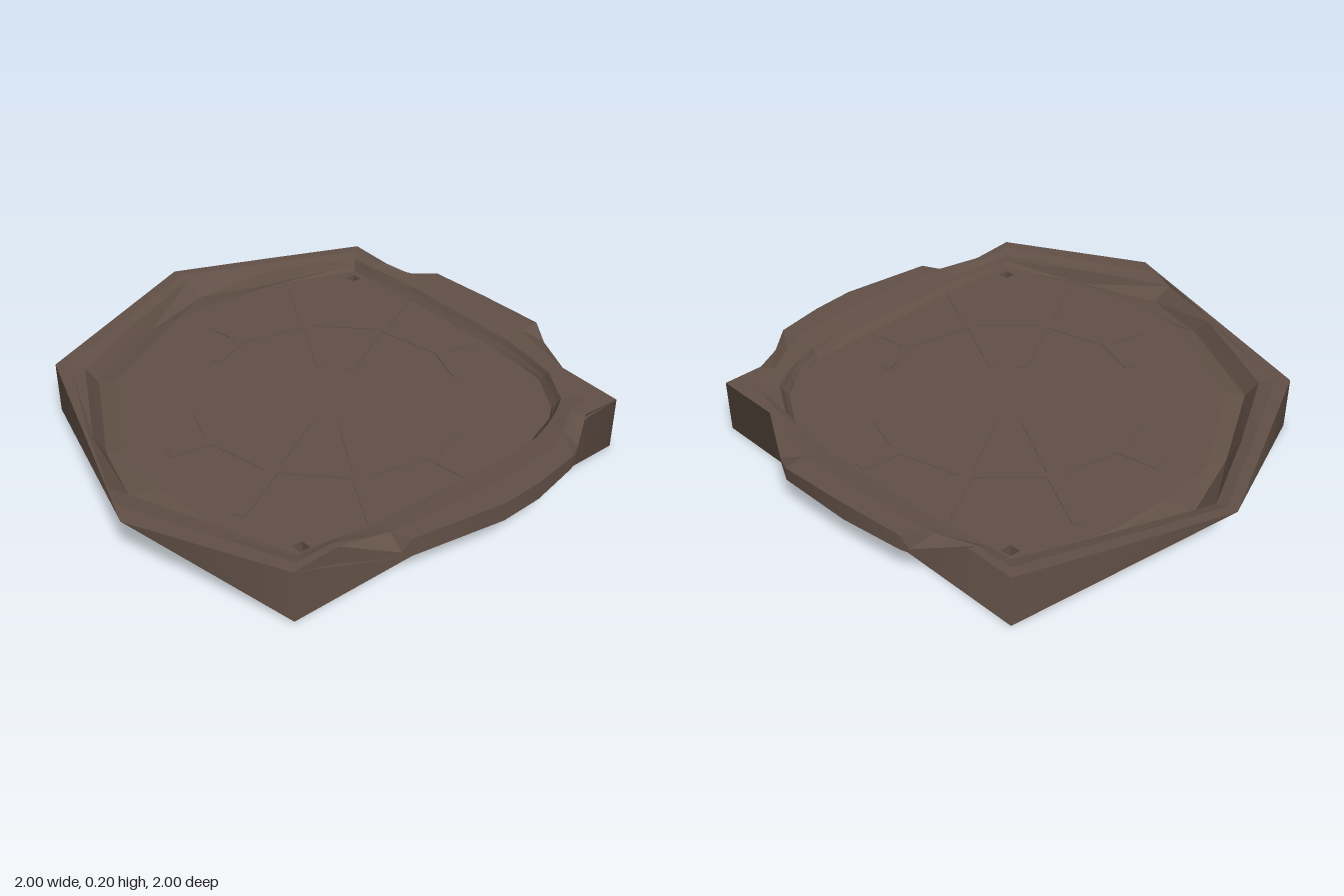
import * as THREE from 'three';

const TOP = 0.2, FLOOR = 0.148, CEILING = 0.068;
const HALF = 8; // loop index where the -x half ends and the +x half begins

// Matching cross-section loops in plan [x, z, height if not level], running back, -x, front, +x
const crownOuter = [
  [0, -1], [-0.36, -0.855], [-0.71, -0.71], [-0.855, -0.355], [-1, 0], [-0.78, 0.415], [-0.56, 0.83], [-0.28, 0.915],
  [0, 1], [0.12, 0.87], [0.31, 0.82, 0.15], [0.34, 0.81], [0.62, 0.61], [0.73, 0.49], [0.84, 0.34], [0.86, 0.25, 0.17], [0.89, 0.1],
  [1, 0], [0.82, -0.18], [0.76, -0.39, 0.17], [0.73, -0.48], [0.53, -0.655], [0.34, -0.81], [0.31, -0.82, 0.15], [0.13, -0.87]];
// Square foot; repeated corners fan out to the flared crown
const base = [
  [0, -1], [0, -1], [-1, 0], [-1, 0], [-1, 0], [-1, 0], [0, 1], [0, 1],
  [0, 1], [0.12, 0.88], [0.2, 0.8], [0.26, 0.74], [0.5, 0.5], [0.62, 0.38], [0.75, 0.25], [0.83, 0.17], [0.9, 0.1],
  [1, 0], [0.82, -0.18], [0.7, -0.3], [0.63, -0.37], [0.43, -0.57], [0.27, -0.73], [0.2, -0.8], [0.13, -0.87]];
const crownInner = [
  [0, -0.91], [-0.33, -0.785], [-0.65, -0.66], [-0.78, -0.33], [-0.89, 0], [-0.76, 0.4], [-0.64, 0.66], [-0.3, 0.79],
  [0, 0.91], [0.07, 0.85], [0.14, 0.8], [0.2, 0.76], [0.42, 0.55], [0.6, 0.38], [0.72, 0.24], [0.76, 0.16], [0.79, 0.08],
  [0.81, 0], [0.77, -0.16], [0.7, -0.26], [0.62, -0.36], [0.44, -0.53], [0.26, -0.7], [0.16, -0.78], [0.07, -0.85]];
const floorEdge = [
  [0, -0.88], [-0.31, -0.74], [-0.5, -0.59], [-0.65, -0.43], [-0.78, 0], [-0.65, 0.43], [-0.5, 0.59], [-0.31, 0.74],
  [0, 0.88], [0.06, 0.83], [0.12, 0.785], [0.18, 0.74], [0.38, 0.54], [0.56, 0.37], [0.7, 0.22], [0.735, 0.14], [0.77, 0.07],
  [0.78, 0], [0.74, -0.17], [0.66, -0.27], [0.58, -0.36], [0.41, -0.52], [0.23, -0.69], [0.14, -0.76], [0.06, -0.83]];
// Underside heights of the ledge along the +x half
const ledgeHeights = [TOP, 0.13, 0.13, 0.13, 0.13, 0.13, 0.15, 0.15, 0.19, TOP, TOP, 0.155, 0.15, 0.13, 0.14, 0.135, 0.13];

const at = (loop, y, k = 1) => loop.map(([x, z, h = y]) => new THREE.Vector3(x * k, h, z * k));

// Skin loops one after another over a range of indices, with flat or radial normals
function skin(loops, { radial = false, from = 0, to = loops[0].length } = {}) {
  const pos = [], n = loops[0].length;
  for (let r = 0; r + 1 < loops.length; r++) {
    for (let i = from; i < to; i++) {
      const j = (i + 1) % n;
      const a = loops[r][i], b = loops[r][j], c = loops[r + 1][j], d = loops[r + 1][i];
      for (const tri of [[a, b, c], [a, c, d]]) {
        if (new THREE.Triangle(...tri).getArea() < 1e-6) continue;
        for (const p of tri) pos.push(p.x, p.y, p.z);
      }
    }
  }
  const g = new THREE.BufferGeometry();
  g.setAttribute('position', new THREE.Float32BufferAttribute(pos, 3));
  g.computeVertexNormals();
  if (radial) {
    const p = g.attributes.position, v = new THREE.Vector3();
    for (let i = 0; i < p.count; i++) {
      v.set(p.getX(i), 0, p.getZ(i)).normalize();
      g.attributes.normal.setXYZ(i, v.x, v.y, v.z);
    }
  }
  return g;
}

export function createModel() {
  const model = new THREE.Group();
  const bronze = new THREE.MeshStandardMaterial({ color: 0x615046, side: THREE.DoubleSide });
  bronze.name = 'dark bronze';
  const add = (name, geometry, parent = model) => {
    const mesh = new THREE.Mesh(geometry, bronze);
    mesh.name = name;
    parent.add(mesh);
    return mesh;
  };

  // Flared wall on the -x half
  const foot = at(base, 0), crown = at(crownOuter, TOP);
  add('flaredWall', skin([foot, crown], { radial: true, to: HALF }));

  // Upright wall and overhanging ledge on the +x half
  const atLedge = (p, i) => p.clone().setY(ledgeHeights[i - HALF] ?? TOP);
  const waist = foot.map(atLedge), ledge = crown.map(atLedge);
  add('uprightWall', skin([foot, waist], { radial: true, from: HALF }));
  add('ledgeUnderside', skin([waist, ledge], { from: HALF }));
  add('ledgeWall', skin([ledge, crown], { radial: true, from: HALF }));

  // Rim top, with a sunken gutter on the -x half and a plain slope on the +x half
  const inner = at(crownInner, 0.19), edge = at(floorEdge, FLOOR);
  const crest = crown.map((p, i) => p.clone().lerp(inner[i], 0.5).setY(TOP));
  const gutter = inner.map((p, i) => p.clone().lerp(edge[i], 0.4).setY(i > 0 && i < HALF ? 0.135 : 0.17));
  add('rim', skin([crown, crest, inner, gutter, edge]));

  // Foot ring and the recess under the floor
  add('footRing', skin([at(base, CEILING, 0.84), at(base, 0, 0.84), foot]));

  // Floor plate with two small drain holes
  const shape = new THREE.Shape(floorEdge.map(([x, z]) => new THREE.Vector2(x, z)));
  for (const s of [-1, 1]) {
    const hole = [[0, 0.8], [0.03, 0.825], [0, 0.85], [-0.03, 0.825]];
    shape.holes.push(new THREE.Path(hole.map(([x, z]) => new THREE.Vector2(x, z * s))));
  }
  const plate = new THREE.ExtrudeGeometry(shape, { depth: FLOOR - CEILING, bevelEnabled: false });
  plate.rotateX(Math.PI / 2);
  add('floorPlate', plate).position.y = FLOOR;

  // Faint branching ribs, mirrored to all four quarters
  const ribs = new THREE.Group();
  ribs.name = 'floorRibs';
  model.add(ribs);
  const rib = (x1, z1, x2, z2, w) => {
    const m = add('rib', new THREE.BoxGeometry(Math.hypot(x2 - x1, z2 - z1), 0.005, w), ribs);
    m.position.set((x1 + x2) / 2, FLOOR, (z1 + z2) / 2);
    m.rotation.y = -Math.atan2(z2 - z1, x2 - x1);
  };
  for (const sx of [-1, 1]) {
    for (const sz of [-1, 1]) {
      rib(0.055 * sx, 0.16 * sz, 0.14 * sx, 0.45 * sz, 0.03);
      rib(0.14 * sx, 0.45 * sz, 0.22 * sx, 0.7 * sz, 0.05);
      rib(0.15 * sx, 0.45 * sz, 0.37 * sx, 0.32 * sz, 0.04);
      rib(0.45 * sx, 0.16 * sz, 0.37 * sx, 0.32 * sz, 0.04);
      rib(0.37 * sx, 0.32 * sz, 0.5 * sx, 0.41 * sz, 0.05);
    }
  }
  for (const s of [-1, 1]) rib(-0.14, 0.46 * s, 0.14, 0.46 * s, 0.03);

  return model;
}
